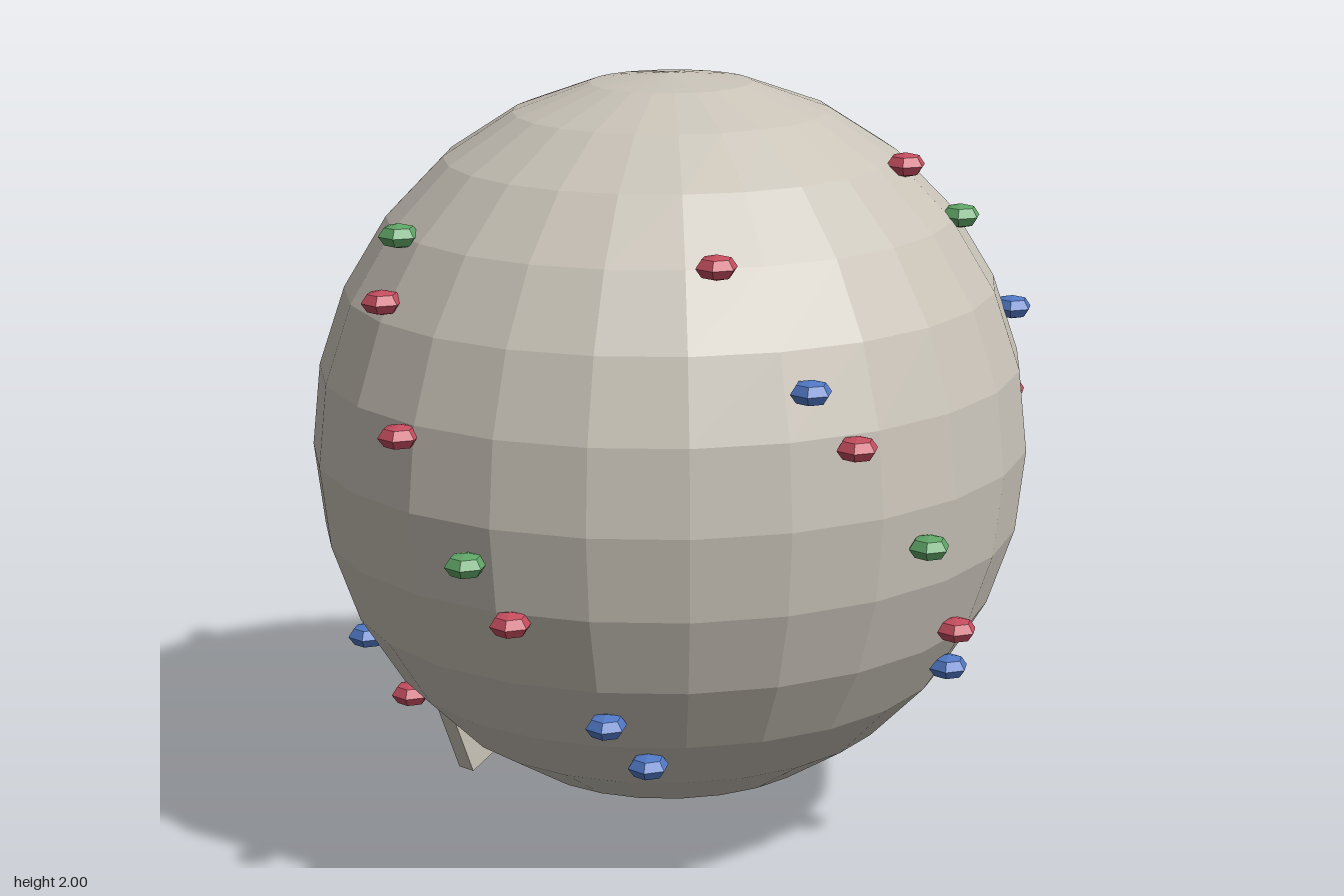
import * as THREE from 'three';

const CENTER = new THREE.Vector3(0.02, 1.055, -0.13);
const RADII = new THREE.Vector3(0.94, 0.945, 0.91);
const ROWS = 14, COLS = 24;

const paint = (name, color) => {
  const m = new THREE.MeshStandardMaterial({ color, flatShading: true });
  m.name = name;
  return m;
};

// Point on the ellipsoid: polar angle from the top, azimuth from +x towards +z
function onShell(polar, azimuth, scale = 1) {
  return new THREE.Vector3(
    Math.sin(polar) * Math.cos(azimuth),
    Math.cos(polar),
    Math.sin(polar) * Math.sin(azimuth)
  ).multiply(RADII).multiplyScalar(scale).add(CENTER);
}

// Which facets of the shell exist: open base, back doorway and a notch below it
function solid(row, col) {
  const c = (col + COLS) % COLS;
  if (row < 0) return true;
  if (row >= 12) return false;
  if (row >= 10) return c !== 17 && c !== 18;
  return !(row >= 4 && c >= 15 && c <= 20);
}

// Hollow faceted shell with thickness, rims closed along every open edge
function shellGeometry() {
  const pos = [];
  const quad = (a, b, c, d) => [a, b, c, a, c, d].forEach(p => pos.push(p.x, p.y, p.z));
  const point = ([row, col], scale) =>
    onShell(row * Math.PI / ROWS, (col % COLS) * 2 * Math.PI / COLS, scale);
  const INNER = 0.96;
  for (let r = 0; r < ROWS; r++) {
    for (let c = 0; c < COLS; c++) {
      if (!solid(r, c)) continue;
      const corners = [[r, c], [r, c + 1], [r + 1, c + 1], [r + 1, c]];
      const outer = corners.map(k => point(k, 1));
      const inner = corners.map(k => point(k, INNER));
      quad(...outer);
      quad(inner[3], inner[2], inner[1], inner[0]);
      const neighbours = [[r - 1, c], [r, c + 1], [r + 1, c], [r, c - 1]];
      neighbours.forEach(([nr, nc], i) => {
        if (solid(nr, nc)) return;
        const n = (i + 1) % 4;
        quad(outer[n], outer[i], inner[i], inner[n]);
      });
    }
  }
  const g = new THREE.BufferGeometry();
  g.setAttribute('position', new THREE.Float32BufferAttribute(pos, 3));
  g.computeVertexNormals();
  return g;
}

export function createModel() {
  const group = new THREE.Group();
  const stone = paint('warm grey', 0xc9c3b8);
  const red = paint('red', 0xc44d5e);
  const green = paint('green', 0x5fa566);
  const blue = paint('blue', 0x5078c4);

  const add = (name, geometry, material, x = 0, y = 0, z = 0, parent = group) => {
    const mesh = new THREE.Mesh(geometry, material);
    mesh.name = name;
    mesh.position.set(x, y, z);
    parent.add(mesh);
    return mesh;
  };

  add('shell', shellGeometry(), stone);

  // Bow at the back: flattened knot and two splayed tails
  const bow = new THREE.Group();
  bow.name = 'bow';
  group.add(bow);
  const knot = new THREE.SphereGeometry(1, 8, 6);
  knot.scale(0.15, 0.095, 0.095);
  add('bowKnot', knot, stone, 0.02, 0.27, -0.715, bow);
  const tail = new THREE.BoxGeometry(0.135, 0.22, 0.055);
  for (const side of [-1, 1]) {
    add(side > 0 ? 'leftBowTail' : 'rightBowTail', tail, stone,
      0.02 + side * 0.125, 0.13, -0.773, bow).rotation.z = -side * 0.38;
  }

  // Beads: levels winding down the shell, each with up to five slots 72 degrees apart
  const bead = new THREE.SphereGeometry(1, 6, 4);
  bead.rotateY(Math.PI / 2);
  bead.scale(0.052, 0.031, 0.052);
  const beads = new THREE.Group();
  beads.name = 'beads';
  group.add(beads);
  const levels = [
    [red, [0, -1, -2]],
    [green, [0, 2], red, [1]],
    [red, [-1, 2]],
    [blue, [0, 1, -1]],
    [red, [1, 2]],
    [red, [0]],
    [green, [0, 1, 2]],
    [red, [2]],
    [red, [0, 1]],
    [blue, [1, 2, 3]],
    [red, [0, 3], blue, [2]]
  ];
  levels.forEach((level, i) => {
    const y = 1.79 - 0.138 * i;
    const polar = Math.acos((y - CENTER.y) / (RADII.y * 1.018));
    for (let n = 0; n < level.length; n += 2) {
      for (const slot of level[n + 1]) {
        const material = i === 0 && slot === -1 ? green : level[n];
        const azimuth = THREE.MathUtils.degToRad(64 - 6.55 * i + 72 * slot);
        const p = onShell(polar, azimuth, 1.018);
        add(material.name + 'Bead', bead, material, p.x, p.y, p.z, beads);
      }
    }
  });

  return group;
}
